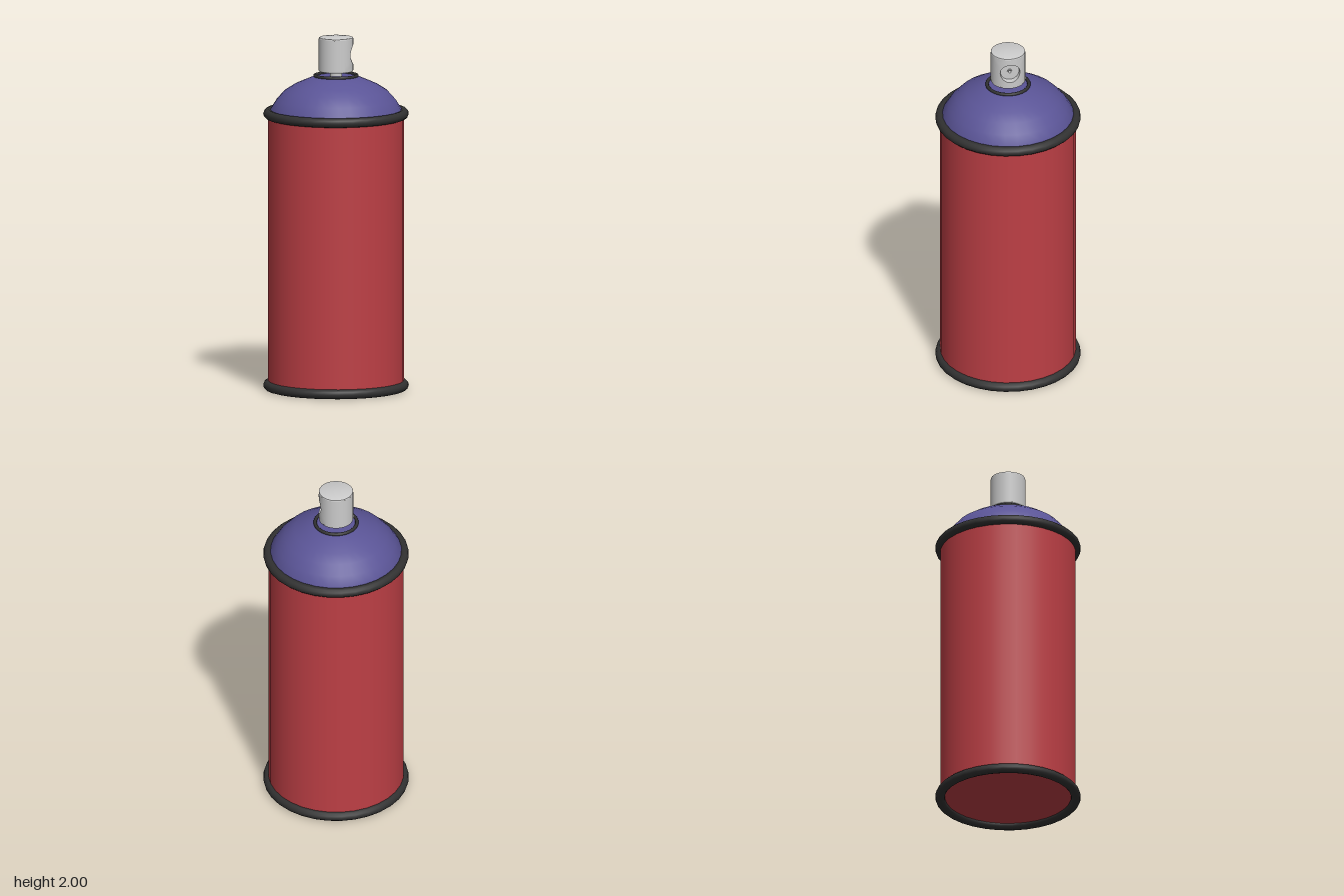
import * as THREE from 'three';
import { toCreasedNormals } from 'three/addons/utils/BufferGeometryUtils.js';

const SIDES = 32;
const material = (color) => new THREE.MeshStandardMaterial({ color });
const red = material(0xbd3f45);
const purple = material(0x5a5496);
const black = material(0x313131);
const grey = material(0xcccccc);

function part(parent, name, geometry, mat, y = 0) {
  const mesh = new THREE.Mesh(geometry, mat);
  mesh.name = name;
  mesh.position.y = y;
  parent.add(mesh);
  return mesh;
}

function lathe(points, crease = 0.6) {
  const profile = points.map(([r, y]) => new THREE.Vector2(r, y));
  return toCreasedNormals(new THREE.LatheGeometry(profile, SIDES), crease);
}

function ring(radius, tube) {
  return new THREE.TorusGeometry(radius, tube, 12, SIDES).rotateX(Math.PI / 2);
}

// Round patch facing +x: rule(a, s) gives a point at angle a, ring s (0 inner to 1 outer)
function roundPatch(rings, rule) {
  const geometry = new THREE.PlaneGeometry(1, 1, SIDES, rings);
  const pos = geometry.attributes.position;
  for (let i = 0; i < pos.count; i++) {
    const a = -2 * Math.PI * (pos.getX(i) + 0.5);
    pos.setXYZ(i, ...rule(a, pos.getY(i) + 0.5));
  }
  return toCreasedNormals(geometry, 0.6);
}

function createNozzle() {
  const nozzle = new THREE.Group();
  nozzle.name = 'nozzle';
  const R = 0.097, low = 1.812, high = 1.993, mid = (low + high) / 2;
  const half = (high - low) / 2, holeR = 0.056, spread = Math.PI / 3;

  // Rounded edges with the flat top and underside
  part(nozzle, 'nozzleTop', lathe([[R, high], [0.095, 1.998], [0.09, 2], [0, 2]]), grey);
  part(nozzle, 'nozzleUnderside', lathe([[0, 1.805], [0.09, 1.805], [0.095, 1.807], [R, low]]), grey);

  // Plain wall around the back, leaving a gap for the spray side
  part(nozzle, 'nozzleWall', new THREE.CylinderGeometry(R, R, high - low, SIDES, 1, true,
    Math.PI / 2 + spread, 2 * Math.PI - 2 * spread), grey, mid);

  // Curved wall panel with a round opening
  part(nozzle, 'nozzleFrontWall', roundPatch(6, (a, s) => {
    const c = Math.cos(a), n = Math.sin(a), k = Math.max(Math.abs(c), Math.abs(n));
    const angle = THREE.MathUtils.lerp(Math.asin(holeR * c / R), spread * c / k, s);
    const y = THREE.MathUtils.lerp(holeR * n, half * n / k, s);
    return [R * Math.cos(angle), y, -R * Math.sin(angle)];
  }), grey, mid);

  // Recess with a small drilled jet: [radius, x] from the centre to the rim
  const profile = [[0, 0.045], [0.008, 0.045], [0.008, 0.07], [0.014, 0.07], [0.014, 0.063], [0.053, 0.063]];
  part(nozzle, 'sprayRecess', roundPatch(profile.length, (a, s) => {
    const i = Math.round(s * profile.length);
    const [r, x] = profile[i] ?? [holeR, Math.sqrt(R * R - (holeR * Math.cos(a)) ** 2)];
    return [x, r * Math.sin(a), -r * Math.cos(a)];
  }), grey, mid);
  return nozzle;
}

export function createModel() {
  const can = new THREE.Group();
  can.name = 'sprayCan';

  // Body and its two rolled rims
  part(can, 'body', new THREE.CylinderGeometry(0.381, 0.381, 1.54, SIDES), red, 0.798);
  part(can, 'bottomRim', ring(0.382, 0.027), black, 0.027);
  part(can, 'topRim', ring(0.382, 0.027), black, 1.567);

  // Domed shoulder
  part(can, 'shoulder', lathe([[0.375, 1.565], [0.367, 1.595], [0.335, 1.645], [0.29, 1.695],
    [0.235, 1.73], [0.185, 1.752], [0.125, 1.777], [0.1, 1.78], [0, 1.78]]), purple);
  part(can, 'collarRing', ring(0.118, 0.0095), black, 1.782);

  // Valve stem and push nozzle
  part(can, 'stem', new THREE.CylinderGeometry(0.035, 0.035, 0.04, 24), grey, 1.79);
  can.add(createNozzle());
  return can;
}
